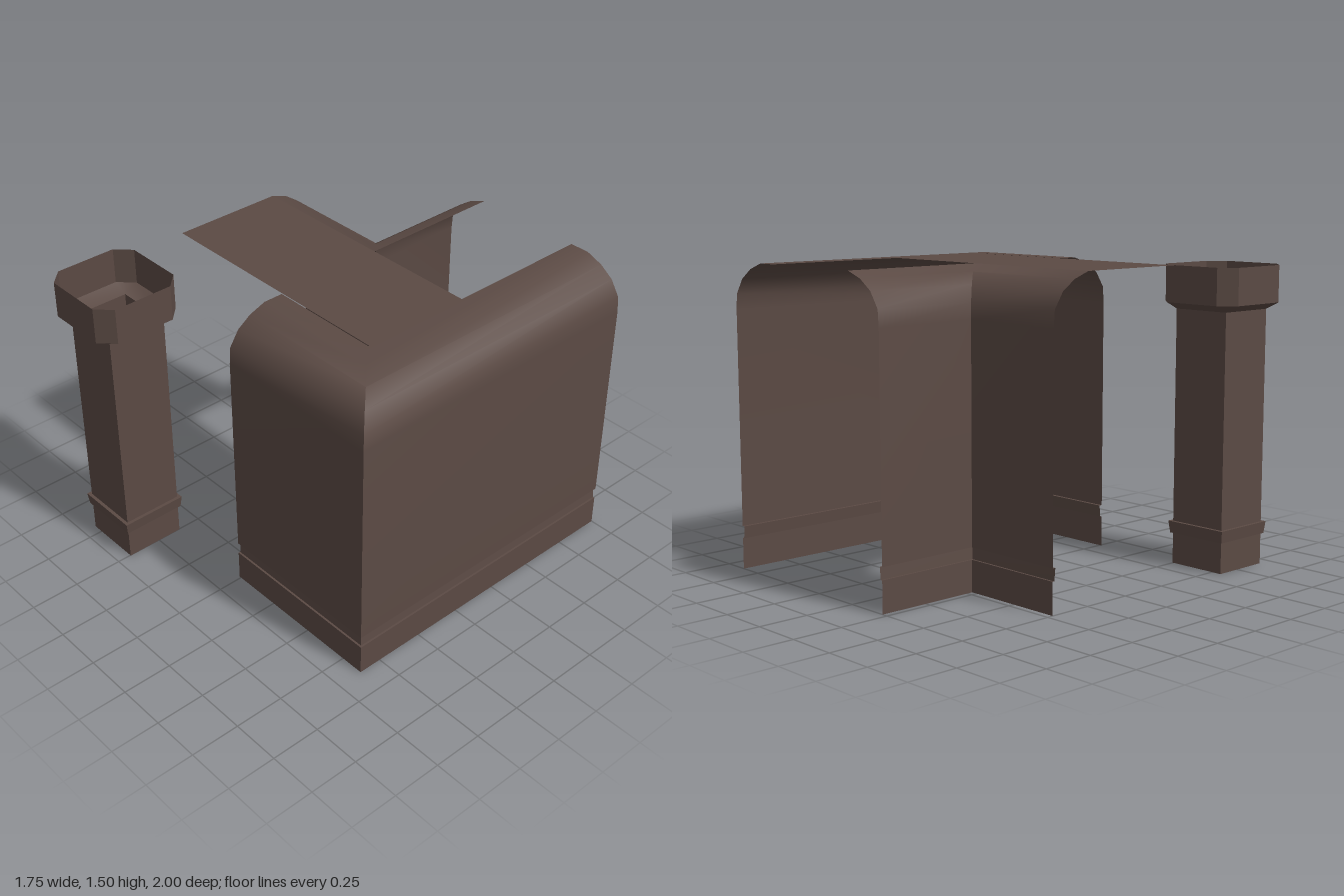
import * as THREE from 'three';
import { toCreasedNormals } from 'three/addons/utils/BufferGeometryUtils.js';

const brown = new THREE.MeshStandardMaterial({ color: 0x5b4a44, side: THREE.DoubleSide });
brown.name = 'dark brown';

// Skin between consecutive rings of points (bottom to top); zero-area triangles are skipped
function loft(name, rings, closed = false) {
  const pos = [];
  const tri = (a, b, c) => {
    if (new THREE.Triangle(a, b, c).getArea() > 1e-7) for (const p of [a, b, c]) pos.push(p.x, p.y, p.z);
  };
  for (let r = 0; r + 1 < rings.length; r++) {
    const lo = rings[r], hi = rings[r + 1], n = lo.length;
    for (let i = 0; i < (closed ? n : n - 1); i++) {
      const j = (i + 1) % n;
      tri(lo[i], lo[j], hi[j]);
      tri(lo[i], hi[j], hi[i]);
    }
  }
  const geo = new THREE.BufferGeometry();
  geo.setAttribute('position', new THREE.Float32BufferAttribute(pos, 3));
  const mesh = new THREE.Mesh(toCreasedNormals(geo, 0.75), brown);
  mesh.name = name;
  return mesh;
}

// Wall sections as [inset, height]: skirting, groove, wall, rounded shoulder
const base = [[0, 0], [0, 0.155], [0.01, 0.155], [0.016, 0.215], [0, 0.215], [0, 1.27]];
const shoulder = [[0, 1.27], [0.006, 1.35], [0.055, 1.425], [0.125, 1.474], [0.21, 1.505]];
const v = (x, y, z) => new THREE.Vector3(x, y, z);
const outer = ([d, y]) => [v(-0.01, y, 0.62 - d), v(0.87 - d, y, 0.62 - d), v(0.87 - d, y, -1)];
const inner = ([d, y]) => [v(-0.22 + d, y, -1), v(-0.22 + d, y, -0.47 + d), v(-0.75, y, -0.47 + d)];

// Square column ring with optional chamfered corners
function columnRing([half, y, chamfer = 0]) {
  const h = half, k = half - chamfer, cx = -0.65, cz = 0.775;
  return [[-k, h], [k, h], [h, k], [h, -k], [k, -h], [-k, -h], [-h, -k], [-h, k]]
    .map(([x, z]) => v(cx + x, y, cz + z));
}

export function createModel() {
  const group = new THREE.Group();
  group.name = 'wallSet';

  // Mitred walls around the outer and inner corners
  const wall = base.concat(shoulder.slice(1));
  group.add(loft('outerCornerWall', [...wall, [0.31, 1.505]].map(outer)));
  group.add(loft('innerCornerWall', wall.map(inner)));

  // Flat top joining both walls
  group.add(loft('flatTop', [
    [v(-0.75, 1.505, 0.305), v(0.56, 1.505, 0.305)],
    [v(-0.75, 1.505, -0.26), v(0.56, 1.505, -0.26)],
  ]));

  // Open square column with a raised band and a chamfered capital
  const column = new THREE.Group();
  column.name = 'column';
  const h = 0.153;
  column.add(loft('columnShaft', [
    [h, 0], [h, 0.155], [h + 0.01, 0.155], [h + 0.017, 0.215], [h, 0.215], [h, 1.27],
  ].map(columnRing), true));
  column.add(loft('columnCapital', [
    [h, 1.27], [0.225, 1.305, 0.072], [0.225, 1.485, 0.072],
  ].map(columnRing), true));
  group.add(column);

  return group;
}
